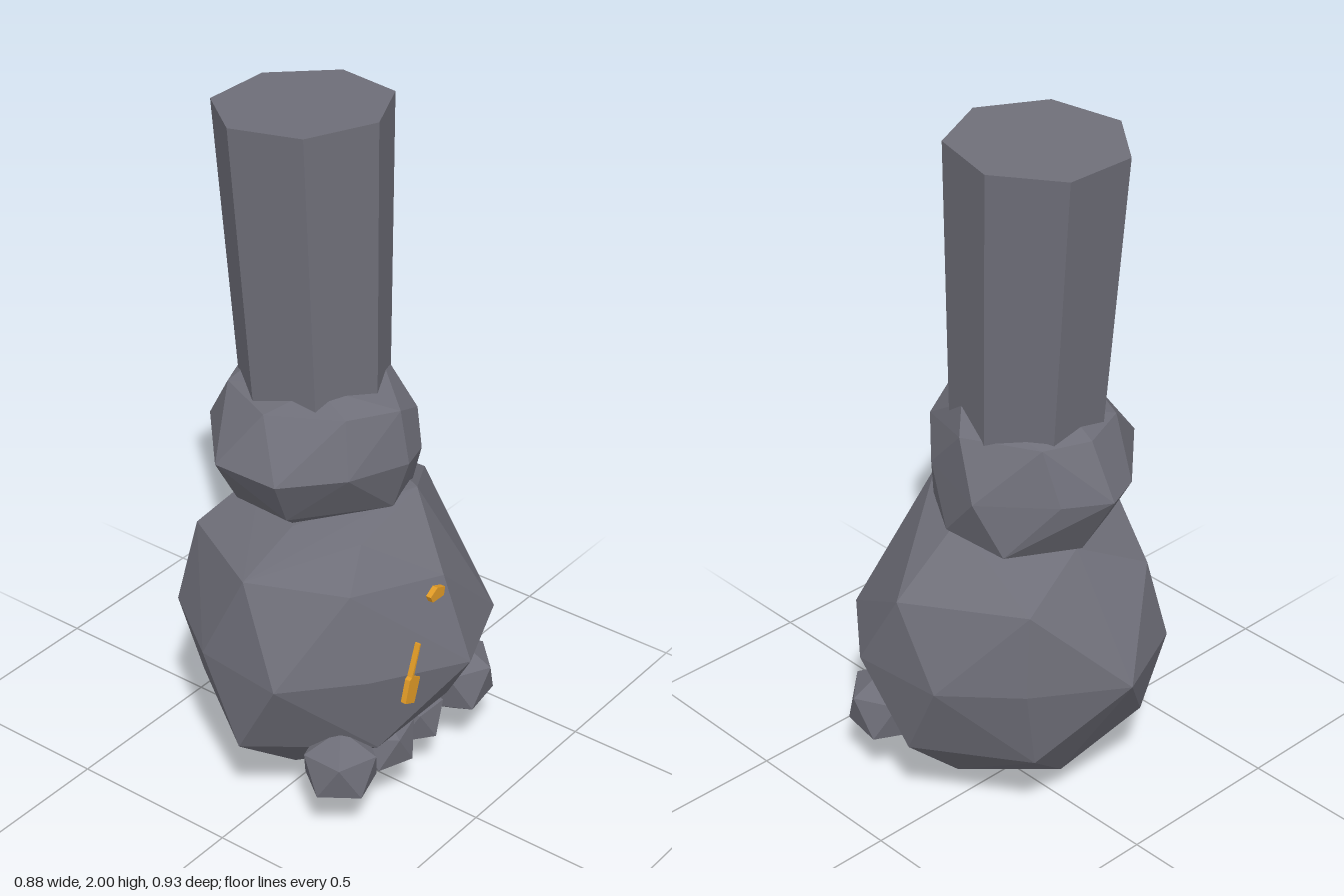
import * as THREE from 'three';
import { ConvexGeometry } from 'three/addons/geometries/ConvexGeometry.js';

const stone = new THREE.MeshStandardMaterial({ color: 0x6e6e78, flatShading: true });
stone.name = 'grey stone';
const ember = new THREE.MeshStandardMaterial({ color: 0xe09a26 });
ember.name = 'ember orange';

// Faceted boulder from corner points listed ring by ring: [height, [[x, z], ...]]
function boulder(name, rings) {
  const points = rings.flatMap(([y, ring]) => ring.map(([x, z]) => new THREE.Vector3(x, y, z)));
  const mesh = new THREE.Mesh(new ConvexGeometry(points), stone);
  mesh.name = name;
  return mesh;
}

// Glowing chip sunk into the front of the fist
function chip(name, outline) {
  const shape = new THREE.Shape(outline.map(([x, y]) => new THREE.Vector2(x, y)));
  const geometry = new THREE.ExtrudeGeometry(shape, { depth: 0.016, bevelEnabled: false });
  const mesh = new THREE.Mesh(geometry, ember);
  mesh.name = name;
  mesh.position.z = 0.37;
  return mesh;
}

export function createModel() {
  const model = new THREE.Group();
  model.name = 'stoneArm';

  // Large rough fist
  model.add(boulder('fist', [
    [0.005, [[0, 0]]],
    [0.1, [[0.21, 0], [-0.2, 0.02], [0, -0.2], [0, 0.15]]],
    [0.27, [[0.39, 0], [-0.42, 0], [0.13, 0.3], [-0.19, 0.3], [0.19, -0.29], [-0.2, -0.31]]],
    [0.52, [[0, 0.465], [0.26, 0.36], [0.435, 0.14], [0.41, -0.13], [0.24, -0.31], [0, -0.467],
      [-0.25, -0.355], [-0.41, -0.13], [-0.44, 0.14], [-0.25, 0.31]]],
    [0.76, [[0.42, 0], [0, 0.37], [0.22, -0.3], [-0.2, -0.32], [-0.24, 0.24]]],
    [0.79, [[-0.39, 0]]],
    [0.86, [[-0.18, 0], [0, -0.25], [-0.14, 0.2]]],
    [0.92, [[0.2, 0]]],
    [0.94, [[0.08, 0.22]]],
  ]));

  // Wrist boulder
  model.add(boulder('wrist', [
    [0.87, [[-0.18, 0], [0, -0.27], [-0.17, -0.2]]],
    [0.91, [[0.24, 0], [0, 0.2], [0.14, 0.16], [0.23, -0.21], [-0.23, 0.02]]],
    [1.06, [[0, 0.25], [0.09, 0.225], [0.2, 0.1], [0.275, -0.14], [0.12, -0.31],
      [0, -0.385], [-0.11, -0.34], [-0.315, -0.15], [-0.315, 0.05], [-0.17, 0.18]]],
    [1.15, [[0.13, 0.18]]],
    [1.21, [[0, 0.22], [0.235, -0.05], [0.13, -0.25], [0, -0.3], [-0.15, -0.24],
      [-0.235, -0.05], [-0.13, 0.14]]],
    [1.27, [[0.18, 0], [-0.12, 0.04], [0, -0.2]]],
  ]));

  // Seven-sided forearm, widening upward and leaning slightly back
  const forearm = new THREE.Mesh(new THREE.CylinderGeometry(0.241, 0.204, 0.9, 7), stone);
  forearm.name = 'forearm';
  forearm.position.set(0.004, 1.54, -0.082);
  forearm.rotation.x = -0.045;
  model.add(forearm);

  // Row of small knuckle stones, corner upward: x, y, z, radius, turn
  const knuckles = [
    [-0.26, 0.22, 0.225, 0.115, 0.3],
    [-0.09, 0.215, 0.235, 0.105, 0.9],
    [0.085, 0.19, 0.21, 0.1, 0.6],
    [0.26, 0.235, 0.235, 0.125, 0.15],
  ];
  knuckles.forEach(([x, y, z, radius, turn], i) => {
    const geometry = new THREE.IcosahedronGeometry(radius, 0).rotateX(-1.017);
    const knuckle = new THREE.Mesh(geometry, stone);
    knuckle.name = 'knuckle' + (i + 1);
    knuckle.position.set(x, y, z);
    knuckle.rotation.y = turn;
    model.add(knuckle);
  });

  // Ember cracks
  model.add(chip('upperEmber',
    [[-0.08, 0.735], [-0.07, 0.715], [-0.02, 0.713], [-0.015, 0.738], [-0.05, 0.752]]));
  model.add(chip('lowerEmber',
    [[-0.185, 0.45], [-0.145, 0.432], [-0.12, 0.505], [-0.15, 0.52], [-0.12, 0.61],
      [-0.125, 0.61], [-0.158, 0.52], [-0.167, 0.515]]));
  return model;
}
